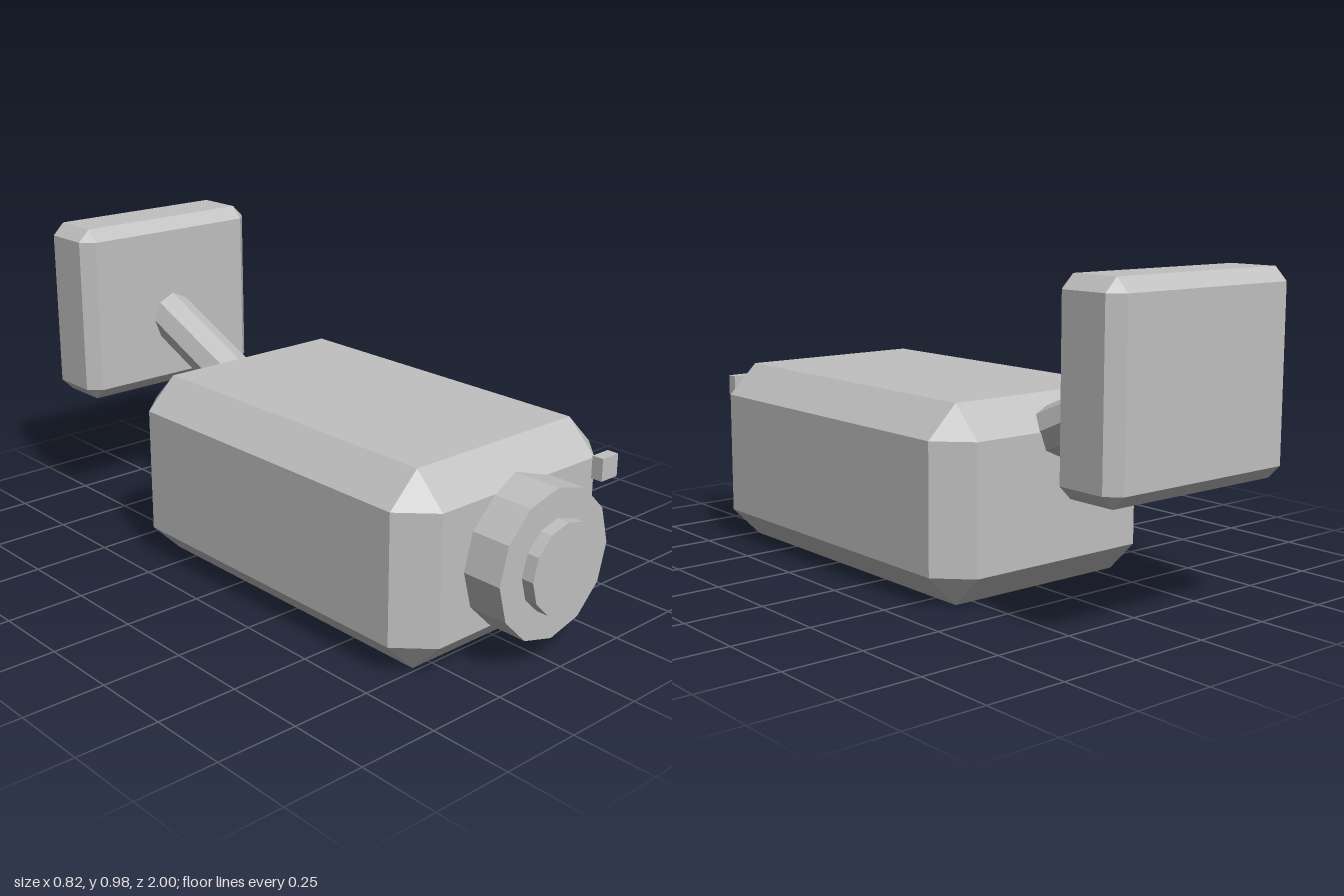
import * as THREE from 'three';
import { ConvexGeometry } from 'three/addons/geometries/ConvexGeometry.js';

const grey = new THREE.MeshStandardMaterial({ color: 0xc0c0c0 });
grey.name = 'camera grey';

// Hard-edged facets: every face keeps its own normals
function faceted(geometry) {
  const flat = geometry.index ? geometry.toNonIndexed() : geometry;
  flat.computeVertexNormals();
  return flat;
}

// Box with 45-degree bevels on all edges, given by half sizes
function bevelledBox(hx, hy, hz, bevel) {
  const points = [];
  for (const sx of [-1, 1]) for (const sy of [-1, 1]) for (const sz of [-1, 1]) {
    points.push(
      new THREE.Vector3(sx * hx, sy * (hy - bevel), sz * (hz - bevel)),
      new THREE.Vector3(sx * (hx - bevel), sy * hy, sz * (hz - bevel)),
      new THREE.Vector3(sx * (hx - bevel), sy * (hy - bevel), sz * hz)
    );
  }
  return faceted(new ConvexGeometry(points));
}

// Prism running between two points, first corner kept in the vertical plane
function rod(radius, sides, from, to) {
  const a = new THREE.Vector3(...from), b = new THREE.Vector3(...to);
  const direction = b.clone().sub(a);
  const geometry = new THREE.CylinderGeometry(radius, radius, direction.length(), sides);
  const turn = new THREE.Quaternion().setFromUnitVectors(new THREE.Vector3(0, 1, 0), direction.normalize());
  geometry.applyQuaternion(turn);
  const middle = a.add(b).multiplyScalar(0.5);
  geometry.translate(middle.x, middle.y, middle.z);
  return faceted(geometry);
}

export function createModel() {
  const group = new THREE.Group();
  group.name = 'securityCamera';
  const add = (name, geometry, x = 0, y = 0, z = 0) => {
    const mesh = new THREE.Mesh(geometry, grey);
    mesh.name = name;
    mesh.position.set(x, y, z);
    group.add(mesh);
  };

  // Housing and wall mount
  add('housing', bevelledBox(0.41, 0.295, 0.6375, 0.098), 0, 0.295, 0.1965);
  add('wallPlate', bevelledBox(0.342, 0.293, 0.1165, 0.039), 0, 0.688, -0.8835);
  add('mountArm', rod(0.078, 8, [0, 0.435, -0.3], [0, 0.674, -0.85]));

  // Lens barrel and front glass
  add('lensBarrel', rod(0.224, 12, [0, 0.296, 0.72], [0, 0.296, 0.961]));
  add('lens', rod(0.136, 12, [0, 0.296, 0.9], [0, 0.296, 1]));

  // Small indicator block beside the lens
  add('indicatorLight', faceted(new THREE.BoxGeometry(0.068, 0.068, 0.037)), 0.274, 0.494, 0.9);
  return group;
}
